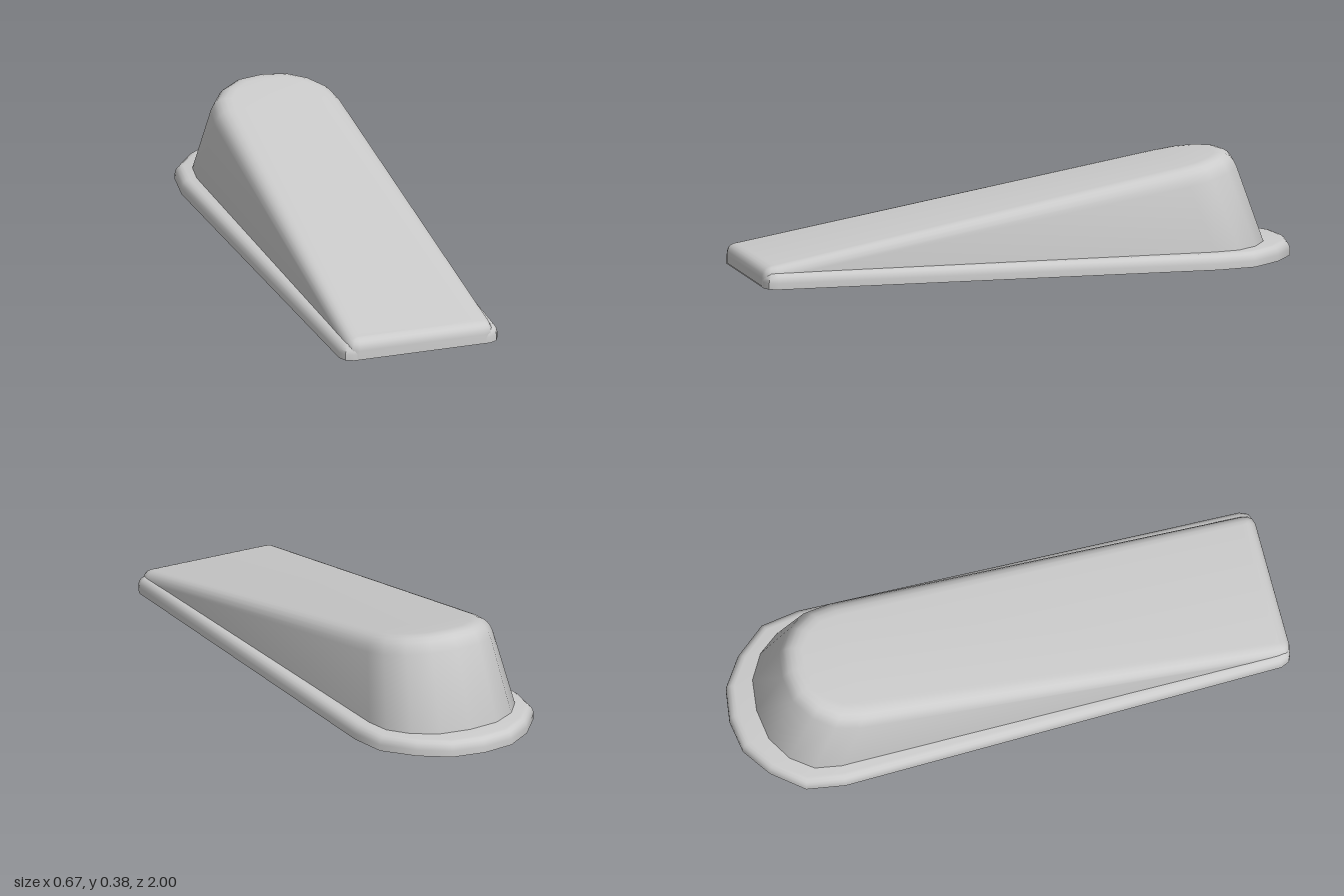
import * as THREE from 'three';
import { toCreasedNormals } from 'three/addons/utils/BufferGeometryUtils.js';

const material = new THREE.MeshStandardMaterial({ color: 0xcccccc });
const RIM = 0.055;    // height of the base flange
const SLOPE = 0.1787; // pitch of the wedge's top
const topPlane = (z) => 0.075 + SLOPE * (0.97 - z);

// Mirrors a half outline (front to back centre) and adds inward normals
function outline(half) {
  const pts = [...half, ...half.slice(0, -1).reverse().map(([x, z]) => [-x, z])]
    .map(([x, z]) => new THREE.Vector2(x, z));
  const n = pts.length;
  return pts.map((p, i) => {
    const a = p.clone().sub(pts[(i + n - 1) % n]).normalize();
    const b = pts[(i + 1) % n].clone().sub(p).normalize();
    const t = a.add(b).normalize();
    return { x: p.x, z: p.y, nx: t.y, nz: -t.x };
  });
}

// Skins a stack of rings, closing the top and optionally the bottom
function loft(rings, closeBottom) {
  const n = rings[0].length;
  const index = [];
  for (let r = 0; r < rings.length - 1; r++) {
    for (let i = 0; i < n; i++) {
      const a = r * n + i, b = r * n + (i + 1) % n;
      index.push(a, b, b + n, a, b + n, a + n);
    }
  }
  const last = (rings.length - 1) * n;
  const cap = (a, b, c) => {
    index.push(last + a, last + b, last + c);
    if (closeBottom) index.push(a, c, b);
  };
  for (let i = 0; i < (n - 1) / 2; i++) {
    const m = n - 1 - i;
    cap(i, i + 1, m);
    if (m - 1 > i + 1) cap(i + 1, m - 1, m);
  }
  const geometry = new THREE.BufferGeometry().setFromPoints(rings.flat());
  geometry.setIndex(index);
  return toCreasedNormals(geometry, 0.7);
}

// Flat flange with a rounded upper edge
function baseGeometry() {
  const path = outline([
    [0.255, 0.998], [0.284, 0.986], [0.298, 0.955], [0.337, -0.66],
    [0.315, -0.8], [0.225, -0.91], [0.12, -0.982], [0, -1],
  ]);
  const profile = [[0, 0]];
  for (let k = 0; k <= 4; k++) {
    const a = (k / 4) * Math.PI / 2;
    profile.push([0.03 * (1 - Math.cos(a)), 0.022 + (RIM - 0.022) * Math.sin(a)]);
  }
  const rings = profile.map(([inset, y]) =>
    path.map((p) => new THREE.Vector3(p.x + p.nx * inset, y, p.z + p.nz * inset)));
  return loft(rings, true);
}

// Tapered wedge: walls lean inward and round over into the sloping top
function wedgeGeometry() {
  const path = outline([
    [0.235, 1], [0.258, 0.994], [0.271, 0.977], [0.275, 0.95], [0.28, -0.66],
    [0.264, -0.755], [0.205, -0.832], [0.115, -0.885], [0, -0.9],
  ]);
  const steps = 5;
  const rings = Array.from({ length: steps + 3 }, () => []);
  for (const p of path) {
    const kx = -0.168 * p.x / 0.28;
    const kz = p.z < -0.6 ? 0.345 : 0;
    const wall = (y) => {
      const h = Math.max(0, y - RIM);
      return new THREE.Vector3(p.x + kx * h, y, p.z + kz * h);
    };
    const edgeY = (topPlane(p.z) + SLOPE * kz * RIM) / (1 + SLOPE * kz);
    const corner = wall(edgeY);
    const r = Math.min(0.06, edgeY * 0.5);
    const low = wall(edgeY - r);
    const z = corner.z + p.nz * r;
    const high = new THREE.Vector3(corner.x + p.nx * r, topPlane(z), z);
    const fillet = new THREE.QuadraticBezierCurve3(low, corner, high);
    rings[0].push(wall(0.005));
    rings[1].push(wall(Math.min(RIM, low.y - 0.003)));
    for (let k = 0; k <= steps; k++) rings[k + 2].push(fillet.getPoint(k / steps));
  }
  return loft(rings, false);
}

export function createModel() {
  const group = new THREE.Group();
  group.name = 'doorstop';
  for (const [name, geometry] of [['baseFlange', baseGeometry()], ['wedgeBody', wedgeGeometry()]]) {
    const mesh = new THREE.Mesh(geometry, material);
    mesh.name = name;
    group.add(mesh);
  }
  return group;
}
